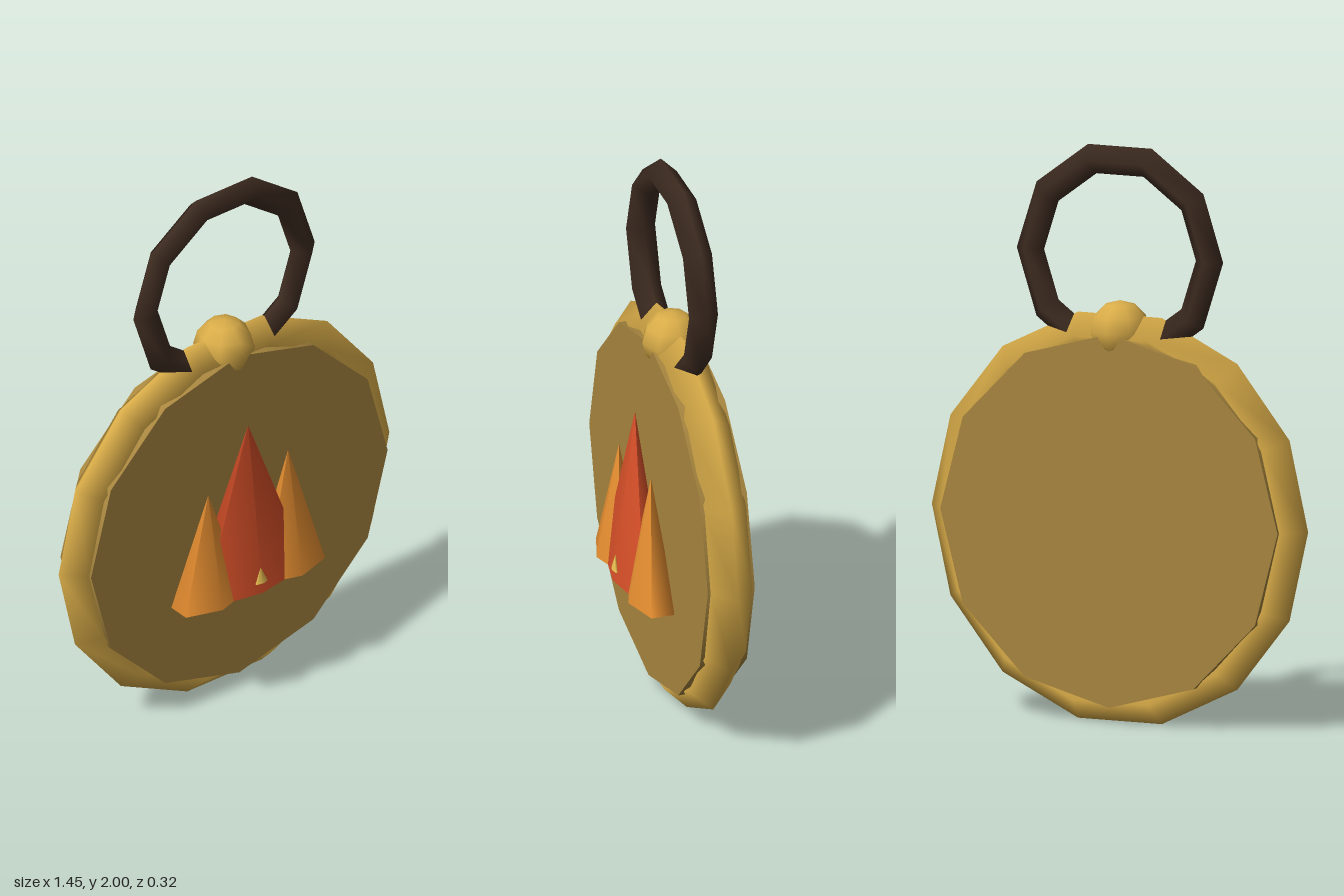
import * as THREE from 'three';

export function createModel() {
  const model = new THREE.Group();
  model.name = 'amulet';

  const mat = (name, color) => {
    const m = new THREE.MeshStandardMaterial({ color });
    m.name = name;
    return m;
  };
  const gold = mat('polished gold', 0xd9ac48);
  const bronze = mat('dull bronze', 0xa8863f);
  const leather = mat('dark leather', 0x3d2b20);
  const red = mat('flame red', 0xd64f28);
  const orange = mat('flame orange', 0xe68e30);
  const yellow = mat('flame yellow', 0xf0c452);

  const add = (name, geometry, material, x, y, z) => {
    const mesh = new THREE.Mesh(geometry, material);
    mesh.name = name;
    mesh.position.set(x, y, z);
    model.add(mesh);
    return mesh;
  };

  // Medallion plate, rim, hanging loop and bead share one centre plane
  const planeZ = -0.055;
  const plate = new THREE.CylinderGeometry(0.65, 0.65, 0.17, 12).rotateX(Math.PI / 2);
  add('plate', plate, bronze, 0, 0.707, planeZ);
  add('rim', new THREE.TorusGeometry(0.65, 0.075, 4, 14), gold, 0, 0.707, planeZ);
  add('hangingLoop', new THREE.TorusGeometry(0.345, 0.0525, 4, 10), leather, 0, 1.622, planeZ);
  add('bead', new THREE.SphereGeometry(0.107, 8, 6), gold, 0, 1.358, planeZ);

  // Flames: six-sided cones flattened front to back
  const flame = (name, material, x, baseY, z, radius, depth, height) => {
    const cone = new THREE.ConeGeometry(radius, height, 6);
    cone.scale(1, 1, depth / radius);
    add(name, cone, material, x, baseY + height / 2, z);
  };
  flame('middleFlame', red, 0, 0.45, 0.079, 0.265, 0.081, 0.647);
  flame('rightFlame', orange, -0.175, 0.45, 0.079, 0.15, 0.081, 0.43);
  flame('leftFlame', orange, 0.175, 0.45, 0.079, 0.15, 0.081, 0.475);
  flame('spark', yellow, 0, 0.49, 0.15, 0.028, 0.013, 0.058);

  return model;
}
